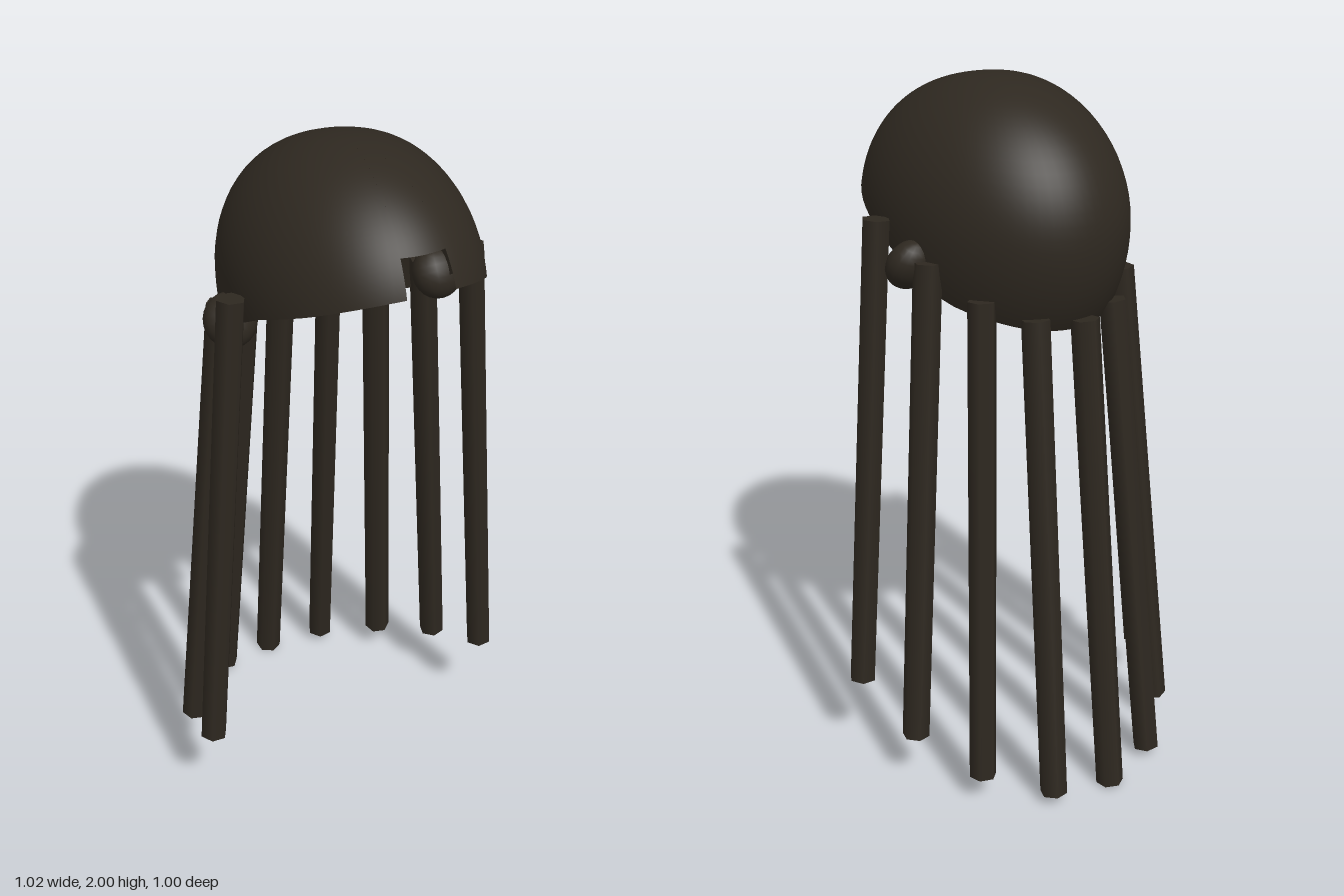
import * as THREE from 'three';

const material = new THREE.MeshStandardMaterial({ color: 0x2e2820, side: THREE.DoubleSide });

// Hairline height as a function of depth: [z, y]
const HAIRLINE = [[-0.31, 1.365], [-0.2, 1.41], [-0.08, 1.45], [0.1, 1.56], [0.2, 1.61], [0.36, 1.67], [0.5, 1.73]];
function hairlineY(z) {
  for (let i = 1; i < HAIRLINE.length; i++) {
    const [z0, y0] = HAIRLINE[i - 1], [z1, y1] = HAIRLINE[i];
    if (z <= z1) return y0 + (y1 - y0) * Math.max(0, (z - z0) / (z1 - z0));
  }
  return 1.73;
}

// Point on the dome: a runs round from the front, phi down from the crown
const CY = 1.62, CZ = 0.09, RX = 0.33, RZ = 0.44;
function domePoint(a, phi) {
  const s = Math.sin(phi), c = Math.cos(phi);
  return new THREE.Vector3(
    RX * Math.pow(Math.max(s, 0), 0.8) * Math.sin(a),
    CY + (c > 0 ? 0.38 : 0.45) * c,
    CZ + RZ * s * Math.cos(a));
}
function phiAt(y) {
  return Math.acos(THREE.MathUtils.clamp((y - CY) / (y > CY ? 0.38 : 0.45), -1, 1));
}

// Open dome that ends at the hairline, with a square notch at the forehead
function makeCap() {
  const NOTCH = 0.22, ROWS = 24, COLS = 64;
  const columns = [];
  for (let i = 0; i <= 6; i++) columns.push({ a: -NOTCH + (2 * NOTCH * i) / 6, notch: true });
  for (let i = 0; i <= COLS; i++) {
    columns.push({ a: NOTCH + ((2 * Math.PI - 2 * NOTCH) * i) / COLS, notch: false });
  }
  const positions = [], normals = [], indices = [];
  for (const { a, notch } of columns) {
    let end = Math.PI / 2;
    for (let k = 0; k < 12; k++) end = phiAt(notch ? 1.82 : hairlineY(domePoint(a, end).z));
    for (let i = 0; i <= ROWS; i++) {
      const p = domePoint(a, (end * i) / ROWS);
      const h = p.y > CY ? 0.38 : 0.45;
      const n = new THREE.Vector3(p.x / RX ** 2, (p.y - CY) / h ** 2, (p.z - CZ) / RZ ** 2).normalize();
      positions.push(p.x, p.y, p.z);
      normals.push(n.x, n.y, n.z);
    }
  }
  const w = ROWS + 1;
  for (let j = 0; j < columns.length; j++) {
    const next = (j + 1) % columns.length;
    if (columns[j].notch !== columns[next].notch) continue;
    for (let i = 0; i < ROWS; i++) {
      const A = j * w + i, D = next * w + i;
      indices.push(A, A + 1, D + 1, A, D + 1, D);
    }
  }
  const geometry = new THREE.BufferGeometry();
  geometry.setAttribute('position', new THREE.Float32BufferAttribute(positions, 3));
  geometry.setAttribute('normal', new THREE.Float32BufferAttribute(normals, 3));
  geometry.setIndex(indices);
  return new THREE.Mesh(geometry, material);
}

// Six-sided strand with one edge facing outward
function makeStrand(top, bottom) {
  const up = top.clone().sub(bottom);
  const length = up.length();
  up.normalize();
  const out = new THREE.Vector3(bottom.x, 0, Math.abs(bottom.x) > 0.5 - 0.05 ? 0 : bottom.z);
  out.addScaledVector(up, -out.dot(up)).normalize();
  const side = new THREE.Vector3().crossVectors(up, out);
  const strand = new THREE.Mesh(new THREE.CylinderGeometry(0.04, 0.04, length, 6), material);
  strand.quaternion.setFromRotationMatrix(new THREE.Matrix4().makeBasis(side, up, out));
  strand.position.copy(top).add(bottom).multiplyScalar(0.5);
  return strand;
}

export function createModel() {
  const model = new THREE.Group();
  model.name = 'hair';

  const cap = makeCap();
  cap.name = 'hairCap';
  model.add(cap);

  // Strands from the temples round to the nape: [top, bottom]
  const strands = [
    [[0.362, 1.65, 0.13], [0.472, 0.255, 0.13]],
    [[0.315, 1.56, -0.037], [0.437, 0.158, -0.093]],
    [[0.243, 1.475, -0.175], [0.338, 0.081, -0.285]],
    [[0.135, 1.425, -0.265], [0.183, 0.027, -0.42]],
    [[0, 1.41, -0.308], [0, 0.004, -0.46]],
  ];
  for (const [t, b] of strands) {
    for (const s of t[0] === 0 ? [1] : [1, -1]) {
      const strand = makeStrand(
        new THREE.Vector3(s * t[0], t[1], t[2]), new THREE.Vector3(s * b[0], b[1], b[2]));
      strand.name = s * t[0] === 0 ? 'backStrand' : s > 0 ? 'leftStrand' : 'rightStrand';
      model.add(strand);
    }
  }

  // Small rounded tufts at the ears
  for (const s of [1, -1]) {
    const tuft = new THREE.Mesh(new THREE.SphereGeometry(1, 16, 12), material);
    tuft.scale.set(0.075, 0.075, 0.055);
    tuft.position.set(s * 0.32, 1.54, 0.032);
    tuft.rotation.x = -0.5;
    tuft.name = s > 0 ? 'leftEarTuft' : 'rightEarTuft';
    model.add(tuft);
  }
  return model;
}
